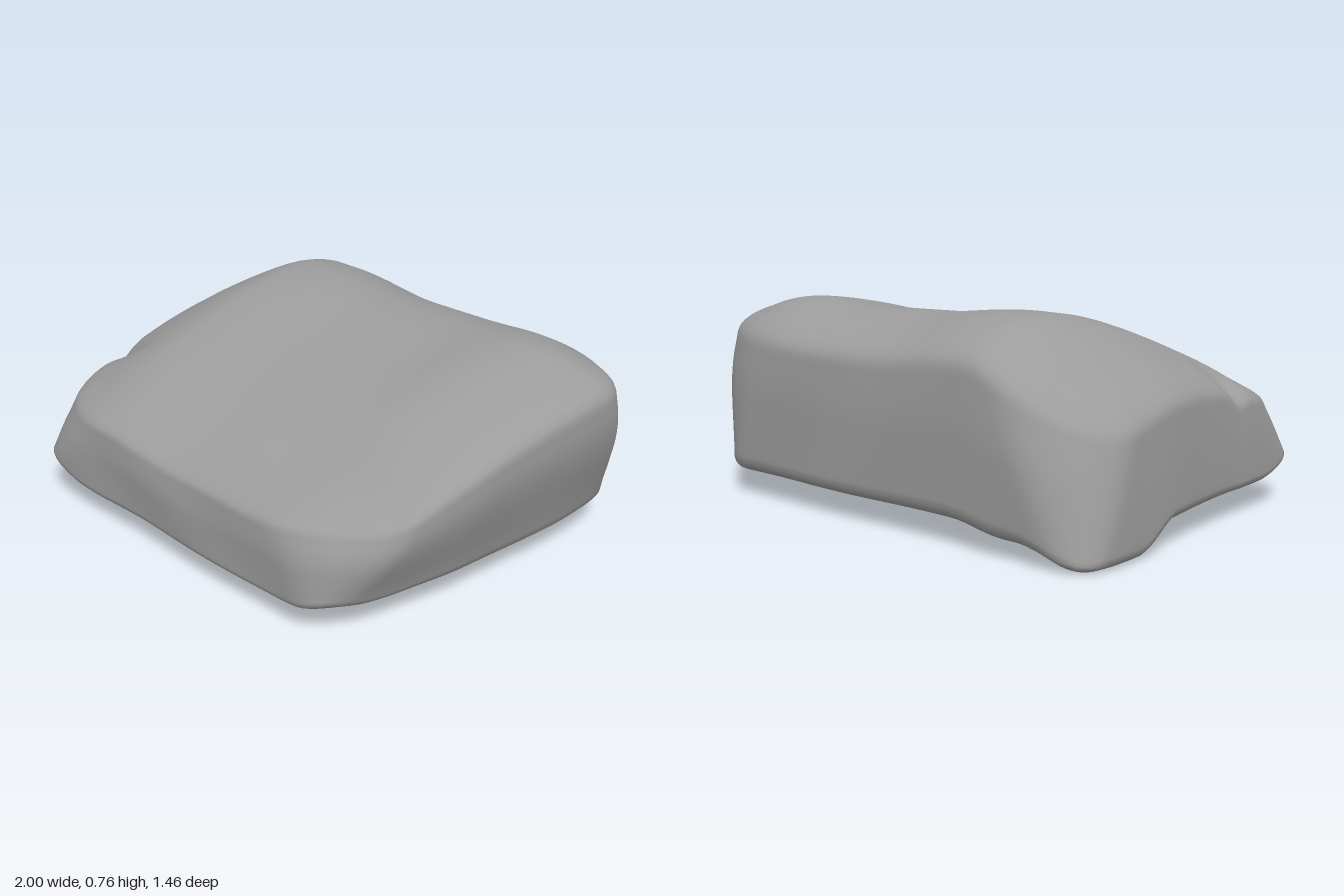
import * as THREE from 'three';
import { mergeVertices } from 'three/addons/utils/BufferGeometryUtils.js';

const { lerp, clamp, smoothstep } = THREE.MathUtils;

// Smooth curve through evenly spaced values, from the front (t = 0) to the back (t = 1)
function profile(values) {
  const curve = new THREE.SplineCurve(values.map((v, i) => new THREE.Vector2(i, v)));
  return t => curve.getPoint(clamp(t, 0, 1)).y;
}

const topHeight = profile([0.455, 0.50, 0.57, 0.64, 0.695, 0.735, 0.755, 0.75, 0.73]);
const minX = profile([-0.82, -0.84, -0.865, -0.89, -0.92, -0.955, -0.98, -1.0, -1.0]);
const maxX = profile([0.82, 0.86, 0.905, 0.945, 0.965, 0.985, 1.0, 0.995, 0.96]);

const bump = (x, z, cx, cz, sx, sz) => Math.exp(-(((x - cx) / sx) ** 2) - ((z - cz) / sz) ** 2);

// Upper surface: slopes to the front, rolls off at -x, dips in the middle
function topAt(x, z, t) {
  const side = Math.max(0, -0.48 - x);
  return topHeight(t)
    - 1.05 * side * side / (side + 0.15) * lerp(0.1, 0.72, t)
    - 0.03 * smoothstep(x, -0.4, 0) * (1 - smoothstep(x, 0.3, 0.8))
    - 0.03 * smoothstep(x, 0.5, 0.95) * (1 - smoothstep(t, 0.5, 0.85))
    - 0.045 * bump(x, z, -0.82, 0.3, 0.11, 0.06)
    - 0.028 * bump(x, z, 0.5, 0.45, 0.45, 0.13)
    + 0.005 * Math.sin(5 * x + 3 * z) * Math.sin(7 * z - 2 * x);
}

// Underside: flat, front corners lifted, a shelf and a foot at the -x rear corner
function bottomAt(x, z) {
  const rear = 1 - smoothstep(z, -0.4, -0.18);
  return 0.08
    - 0.03 * rear * (1 - smoothstep(x, -0.65, -0.4))
    - 0.06 * rear * (1 - smoothstep(x, -1.0, -0.7))
    + 0.11 * bump(x, z, -0.86, 0.76, 0.2, 0.16)
    + 0.07 * bump(x, z, 0.8, 0.74, 0.13, 0.14)
    + 0.005 * Math.sin(4 * x - 1) * Math.sin(5 * z);
}

// Round the cube; tight edges below, broad ones above
function roundCube(p) {
  const r = 0.32 + 0.18 * p.y;
  const core = p.clone().clampScalar(r - 1, 1 - r);
  return p.sub(core).setLength(r).add(core);
}

export function createModel() {
  const group = new THREE.Group();
  group.name = 'rock';

  let geometry = new THREE.BoxGeometry(2, 2, 2, 52, 28, 44);
  geometry.deleteAttribute('uv');
  geometry.deleteAttribute('normal');
  geometry = mergeVertices(geometry, 1e-4);

  const pos = geometry.attributes.position;
  const p = new THREE.Vector3();
  for (let i = 0; i < pos.count; i++) {
    roundCube(p.fromBufferAttribute(pos, i));
    const t = (1 - p.z) / 2;
    const h = (p.y + 1) / 2;
    // +x wall leans outward going up, -x wall leans inward
    const x0 = minX(t) + 0.03 * h * h;
    const x1 = maxX(t) - lerp(0.09, 0.13, t) * (1 - smoothstep(h, -0.1, 0.7));
    const x = lerp(x0, x1, (p.x + 1) / 2);
    // front and back walls draw in slightly towards the top and bulge unevenly
    const depth = 0.724 - 0.02 * smoothstep(h, 0.45, 1)
      + 0.004 * Math.sin(6 * x) + 0.003 * Math.sin(9 * x + 5 * h);
    const z = p.z * depth;
    pos.setXYZ(i, x, lerp(bottomAt(x, z), topAt(x, z, t), h), z);
  }
  geometry.computeVertexNormals();

  const stone = new THREE.Mesh(geometry, new THREE.MeshStandardMaterial({ color: 0x9c9c9c }));
  stone.name = 'stone';
  group.add(stone);
  return group;
}
